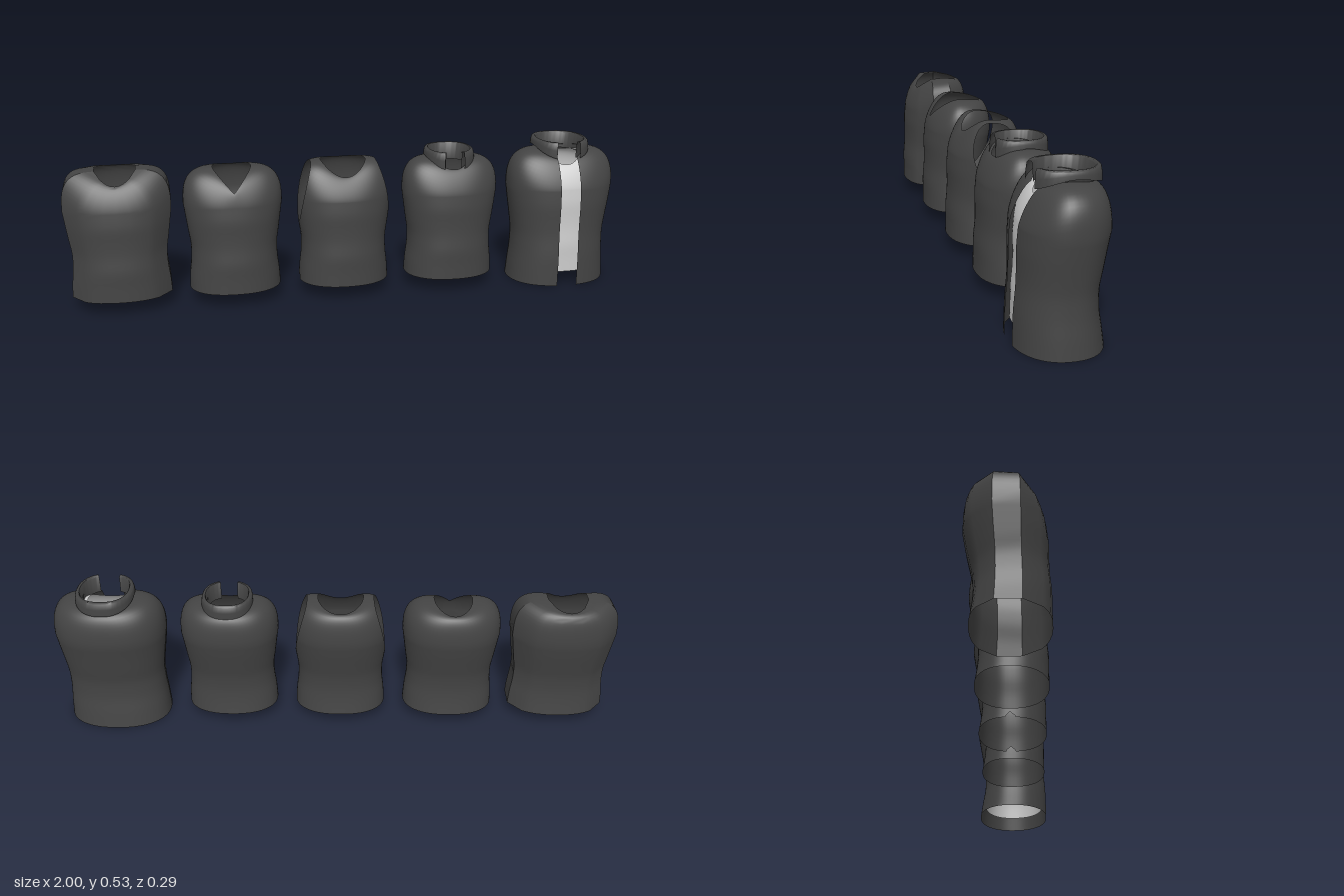
import * as THREE from 'three';
import { toCreasedNormals } from 'three/addons/utils/BufferGeometryUtils.js';

const dark = new THREE.MeshStandardMaterial({ color: 0x444444, side: THREE.DoubleSide });
const light = new THREE.MeshStandardMaterial({ color: 0xcccccc, side: THREE.DoubleSide });

// torso profiles: half width, front depth, back depth at even heights from hem to chest
const slim = [[.163, .128, -.112], [.160, .127, -.104], [.154, .127, -.100], [.153, .122, -.103],
  [.160, .120, -.113], [.167, .120, -.124], [.174, .114, -.133]];
const loose = [[.184, .145, -.133], [.180, .144, -.124], [.175, .142, -.114], [.174, .137, -.113],
  [.181, .135, -.123], [.190, .135, -.133], [.198, .130, -.144]];
const CHEST = 0.36;
const pow = (v, e) => Math.sign(v) * Math.abs(v) ** e;

// grid of points -> smooth surface; closed joins the last column to the first
function gridSurface(rows, closed) {
  const n = rows[0].length, pos = [], index = [];
  rows.forEach(r => r.forEach(p => pos.push(...p)));
  for (let j = 0; j < rows.length - 1; j++) {
    for (let i = 0; i < (closed ? n : n - 1); i++) {
      const a = j * n + i, b = j * n + (i + 1) % n;
      index.push(a, a + n, b, b, a + n, b + n);
    }
  }
  const g = new THREE.BufferGeometry();
  g.setAttribute('position', new THREE.Float32BufferAttribute(pos, 3));
  g.setIndex(index);
  g.computeVertexNormals();
  return g;
}

// removes everything where rule(x, y, z) > 0, keeping smooth normals
function cut(geometry, rule) {
  const g = geometry.toNonIndexed(), P = g.attributes.position, N = g.attributes.normal;
  const pos = [], nor = [];
  for (let t = 0; t < P.count; t += 3) {
    const tri = [0, 1, 2].map(k => {
      const p = new THREE.Vector3().fromBufferAttribute(P, t + k);
      return { p, n: new THREE.Vector3().fromBufferAttribute(N, t + k), f: rule(p.x, p.y, p.z) };
    });
    const poly = [];
    tri.forEach((a, k) => {
      const b = tri[(k + 1) % 3];
      if (a.f <= 0) poly.push(a);
      if ((a.f <= 0) !== (b.f <= 0)) {
        const s = a.f / (a.f - b.f);
        poly.push({ p: a.p.clone().lerp(b.p, s), n: a.n.clone().lerp(b.n, s).normalize() });
      }
    });
    for (let k = 1; k < poly.length - 1; k++) {
      for (const v of [poly[0], poly[k], poly[k + 1]]) {
        pos.push(v.p.x, v.p.y, v.p.z);
        nor.push(v.n.x, v.n.y, v.n.z);
      }
    }
  }
  const out = new THREE.BufferGeometry();
  out.setAttribute('position', new THREE.Float32BufferAttribute(pos, 3));
  out.setAttribute('normal', new THREE.Float32BufferAttribute(nor, 3));
  return out;
}

const evenAngles = Array.from({ length: 64 }, (_, i) => i / 64 * Math.PI * 2);

// necklines: point on the neck edge for a given angle (front is +z)
const roundNeck = (rx, top, drop, front = 0.07) => (c, s) => [
  rx * c, top - (s > 0 ? drop : 0.015) * s * s, s > 0 ? front * s : 0.098 * s];
const veeNeck = (c, s) => {
  if (s <= 0) return [0.067 * c, 0.483 - 0.015 * s * s, 0.098 * s];
  const f = 1 - Math.abs(c);
  return [0.067 * c, 0.483 - 0.073 * f, 0.055 * s + 0.045 * f];
};

// torso shell: lofted trunk, then shoulders rounding over to the neckline
function torso({ profile = slim, hem = 0.05, neck, angles = evenAngles, square = 0.7 }) {
  const curve = new THREE.CatmullRomCurve3(profile.map(p => new THREE.Vector3(...p)));
  const section = (t, a) => {
    const r = curve.getPoint(t), c = pow(Math.cos(a), 0.88), s = pow(Math.sin(a), 0.88);
    return [r.x * c, hem + (CHEST - hem) * t, s > 0 ? r.y * s : -r.z * s];
  };
  const rows = [];
  for (let j = 0; j <= 18; j++) rows.push(angles.map(a => section(j / 18, a)));
  for (let j = 1; j <= 12; j++) {
    const t = j / 12 * Math.PI / 2;
    rows.push(angles.map(a => {
      const c = Math.cos(a), s = Math.sin(a), base = section(1, a), edge = neck(c, s);
      const e = square + (s > 0 ? 0.85 : 0.2) * s * s;
      const inward = 1 - Math.max(0, Math.cos(t)) ** e, up = Math.sin(t) ** e;
      return [0, 1, 2].map(k => base[k] + (edge[k] - base[k]) * (k === 1 ? up : inward));
    }));
  }
  return gridSurface(rows, true);
}

// folded collar, open at the front: stand, rounded fold, outer fall with pointed ends
function collar({ rx, rz, top, low, gap }) {
  const start = Math.PI / 2 + Math.asin(gap / rx), span = Math.PI * 2 - 2 * Math.asin(gap / rx);
  const rows = [0, 1, 2, 3, 4, 5, 6].map(k => {
    const points = [];
    for (let i = 0; i <= 64; i++) {
      const a = start + span * i / 64, s = Math.sin(a), c = Math.cos(a);
      const fall = low + (s > 0 ? 0 : 0.012) + 0.038 * (1 - Math.abs(s) ** 1.5) * (s > 0 ? 1 : 0.68);
      const scale = [1.02, 1.01, 0.98, 0.94, 0.86, 0.83, 0.80][k];
      const y = [fall, (fall + top) / 2, top - 0.004, top, top, top - 0.004, low][k];
      points.push([rx * scale * pow(c, 0.85), y, rz * scale * pow(s, 0.85) - 0.018]);
    }
    return points;
  });
  return toCreasedNormals(gridSurface(rows, false), 0.9);
}

export function createModel() {
  const model = new THREE.Group();
  const garment = (name, x) => {
    const g = new THREE.Group();
    g.name = name;
    g.position.x = x;
    model.add(g);
    return (part, geometry, material = dark) => {
      const m = new THREE.Mesh(geometry, material);
      m.name = part;
      g.add(m);
    };
  };

  // vest with flat, angular side panels: few columns at the sides, many front and back
  const quarter = [16, 48, 58, 68, 79];
  const degrees = [...quarter, 90, ...quarter.map(d => 180 - d).reverse()];
  const panelAngles = [...degrees, ...degrees.map(d => d + 180)].map(THREE.MathUtils.degToRad);
  const vest = torso({
    profile: slim.map(([w, f, b]) => [w * 1.08 + 0.002, f, b]),
    neck: roundNeck(0.072, 0.497, 0.047), angles: panelAngles, square: 0.6,
  });
  garment('panelledVest', -0.815)('vestBody', toCreasedNormals(vest, 0.45));

  garment('veeNeckShirt', -0.417)('shirtBody', torso({ neck: veeNeck }));

  // tank top with open armholes
  const tank = torso({ neck: roundNeck(0.08, 0.49, 0.05) });
  garment('tankTop', -0.021)('tankBody',
    cut(tank, (x, y) => Math.abs(x) - 0.162 + 0.8 * Math.max(0, y - 0.25) ** 2));

  const polo = garment('collaredShirt', 0.375);
  polo('shirtBody', torso({ neck: roundNeck(0.07, 0.483, 0.035) }));
  polo('shirtCollar', collar({ rx: 0.088, rz: 0.092, top: 0.51, low: 0.447, gap: 0.03 }));

  // open jacket over a light undershirt
  const jacket = garment('openJacket', 0.8);
  const shell = torso({ profile: loose, hem: 0, neck: roundNeck(0.08, 0.495, 0.03, 0.075) });
  jacket('jacketBody', cut(shell, (x, y, z) => (z > 0 ? 0.037 - Math.abs(x) : -1)));
  jacket('jacketCollar', collar({ rx: 0.1, rz: 0.106, top: 0.53, low: 0.468, gap: 0.037 }));
  jacket('undershirt', torso({ neck: roundNeck(0.067, 0.478, 0.033) }), light);

  return model;
}
